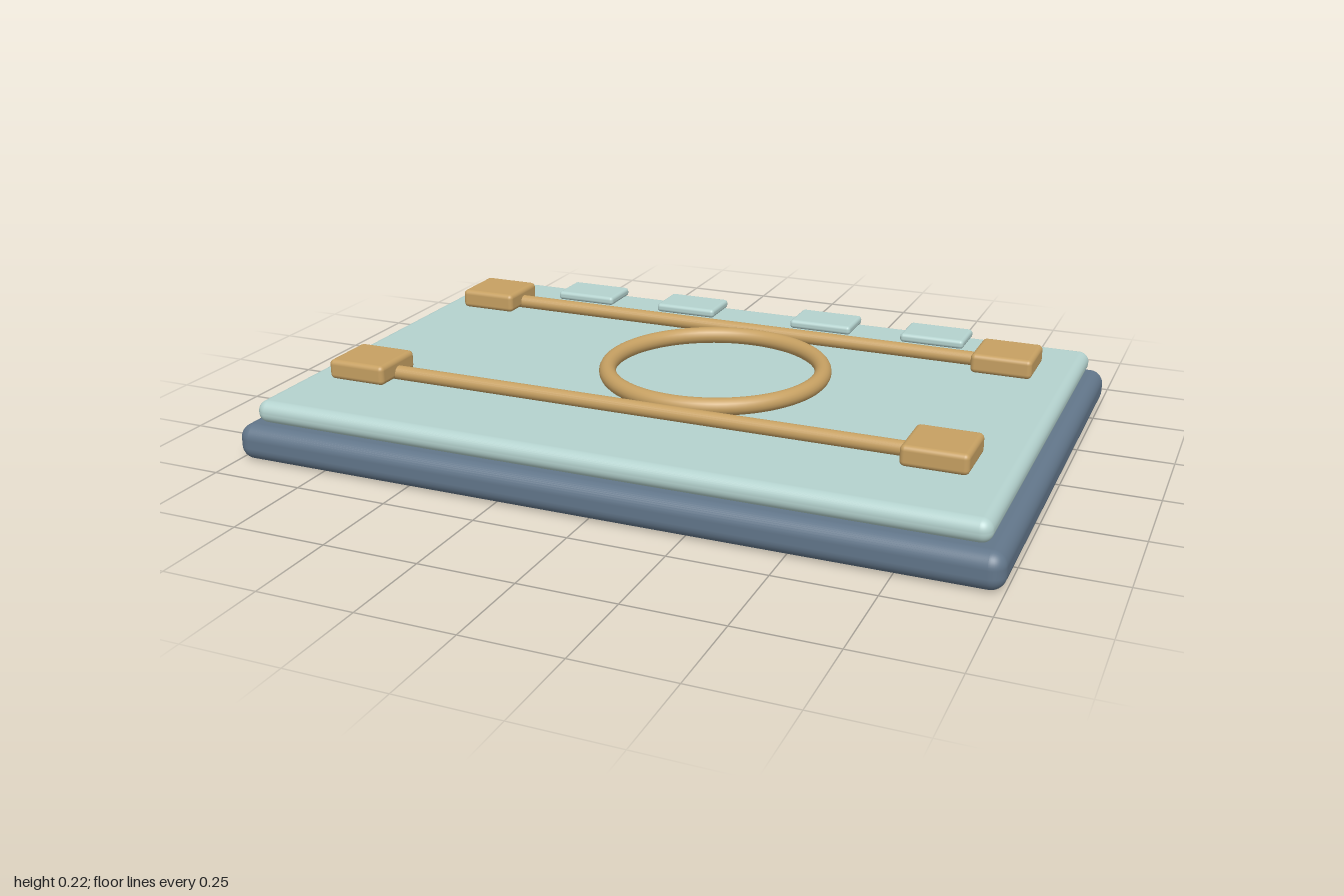
import * as THREE from 'three';
import { RoundedBoxGeometry } from 'three/addons/geometries/RoundedBoxGeometry.js';

const material = (name, color) => {
  const m = new THREE.MeshStandardMaterial({ color });
  m.name = name;
  return m;
};

export function createModel() {
  const group = new THREE.Group();
  const slate = material('slate', 0x62768a);
  const mint = material('pale mint', 0xb4d2ce);
  const brass = material('brass', 0xc6a062);

  const add = (name, geometry, mat, x, y, z) => {
    const mesh = new THREE.Mesh(geometry, mat);
    mesh.name = name;
    mesh.position.set(x, y, z);
    group.add(mesh);
    return mesh;
  };
  const rounded = (w, h, d, r) => new RoundedBoxGeometry(w, h, d, 5, r);

  // Stacked slabs
  add('base', rounded(2, 0.095, 1.32, 0.037), slate, 0, 0.0475, 0);
  add('topPlate', rounded(1.92, 0.06, 1.25, 0.028), mint, 0, 0.125, 0);

  // Rails with an end block at each corner
  const rail = new THREE.CylinderGeometry(0.019, 0.019, 1.6, 24).rotateZ(Math.PI / 2);
  const block = rounded(0.165, 0.053, 0.16, 0.013);
  for (const z of [-0.35, 0.35]) {
    add('rail', rail, brass, 0, 0.182, z);
    for (const x of [-0.778, 0.778]) add('endBlock', block, brass, x, 0.194, z);
  }

  // Ring lying between the rails
  const ring = new THREE.TorusGeometry(0.288, 0.0225, 20, 80).rotateX(Math.PI / 2);
  add('ring', ring, brass, 0.07, 0.183, 0);

  // Keys along the back edge
  const key = rounded(0.183, 0.025, 0.124, 0.01);
  for (const x of [-0.545, -0.214, 0.209, 0.54]) add('key', key, mint, x, 0.176, -0.525);

  return group;
}
